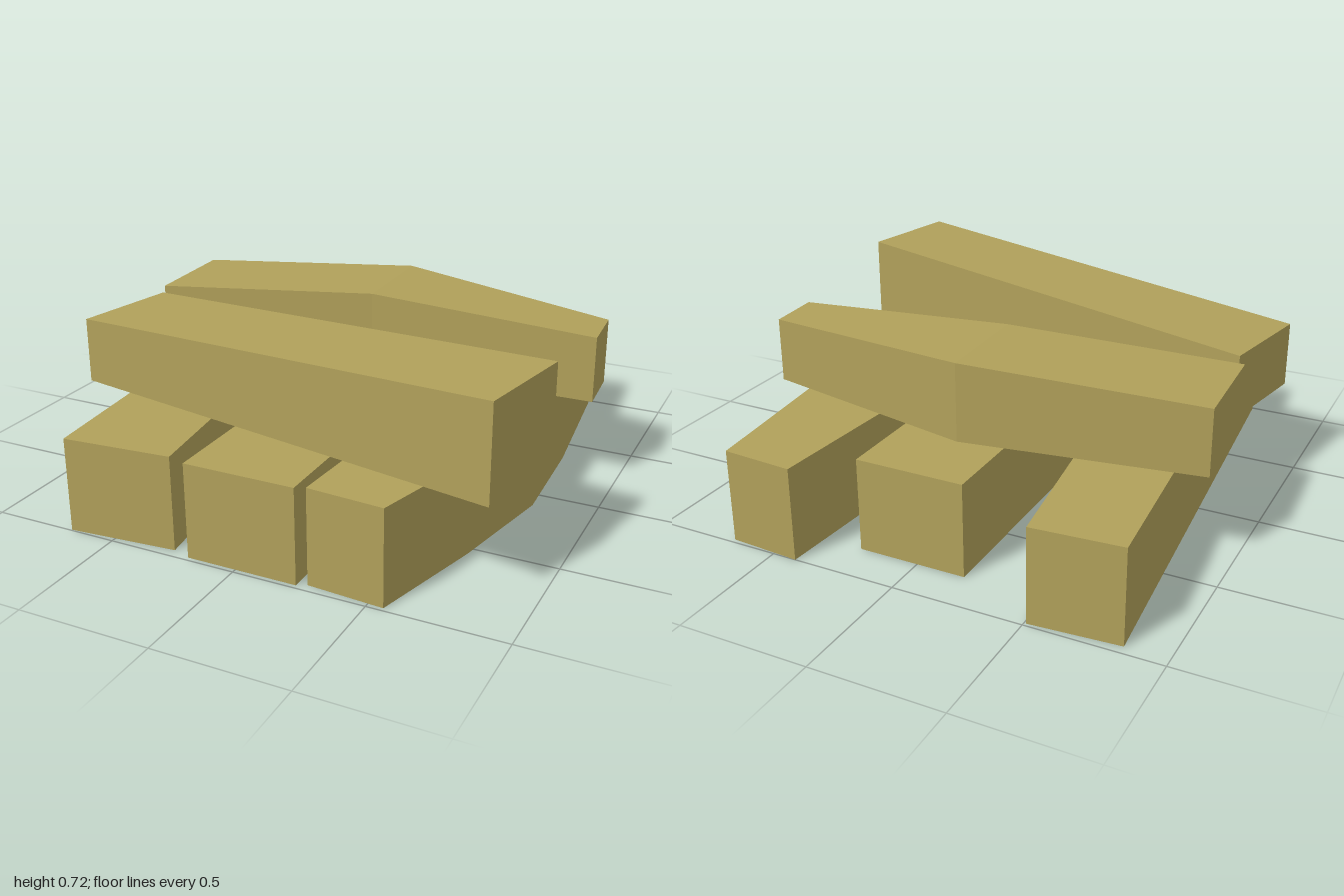
import * as THREE from 'three';

const wood = new THREE.MeshStandardMaterial({ color: 0xb0a05a });
wood.name = 'wood';

// Plank swept through sections [leftX, leftZ, rightX, rightZ, topY];
// left and right are as seen when looking along the sweep.
function plank(name, bottom, sections) {
  const rings = sections.map(([lx, lz, rx, rz, top]) => [
    [lx, bottom, lz], [rx, bottom, rz], [rx, top, rz], [lx, top, lz],
  ]);
  const pos = [];
  const quad = (a, b, c, d) => pos.push(...a, ...b, ...c, ...a, ...c, ...d);
  for (let s = 0; s < rings.length - 1; s++) {
    const r = rings[s], n = rings[s + 1];
    for (let i = 0; i < 4; i++) {
      const j = (i + 1) % 4;
      quad(r[i], n[i], n[j], r[j]);
    }
  }
  quad(...rings[0]);
  quad(...rings[rings.length - 1].slice().reverse());
  const geo = new THREE.BufferGeometry();
  geo.setAttribute('position', new THREE.Float32BufferAttribute(pos, 3));
  geo.computeVertexNormals();
  const mesh = new THREE.Mesh(geo, wood);
  mesh.name = name;
  return mesh;
}

export function createModel() {
  const group = new THREE.Group();
  group.name = 'plankPile';
  const H = 0.363;

  // Bottom layer, swept from front to back
  group.add(plank('lowerPlankRight', 0, [
    [-0.68, 0.995, -0.26, 0.96, H],
    [-0.843, -0.963, -0.508, -0.988, H],
  ]));
  group.add(plank('lowerPlankMiddle', 0, [
    [-0.19, 0.983, 0.235, 0.983, H],
    [-0.19, -0.832, 0.235, -0.832, H],
  ]));
  // Bowed plank
  group.add(plank('lowerPlankLeft', 0, [
    [0.27, 0.965, 0.557, 0.985, H],
    [0.3, 0.53, 0.678, 0.54, H],
    [0.33, 0.09, 0.77, 0.09, H],
    [0.361, -0.36, 0.752, -0.36, H],
    [0.405, -1.0, 0.687, -0.982, H],
  ]));

  // Top layer, swept from -x to +x
  group.add(plank('upperPlankFront', H, [
    [-0.855, 0.087, -0.932, 0.5, 0.618],
    [0.928, 0.428, 0.852, 0.84, 0.724],
  ]));
  group.add(plank('upperPlankBack', H, [
    [-0.92, -0.41, -0.897, 0.012, 0.62],
    [-0.012, -0.55, 0, -0.12, 0.67],
    [0.897, -0.358, 0.912, -0.135, 0.62],
  ]));
  return group;
}
